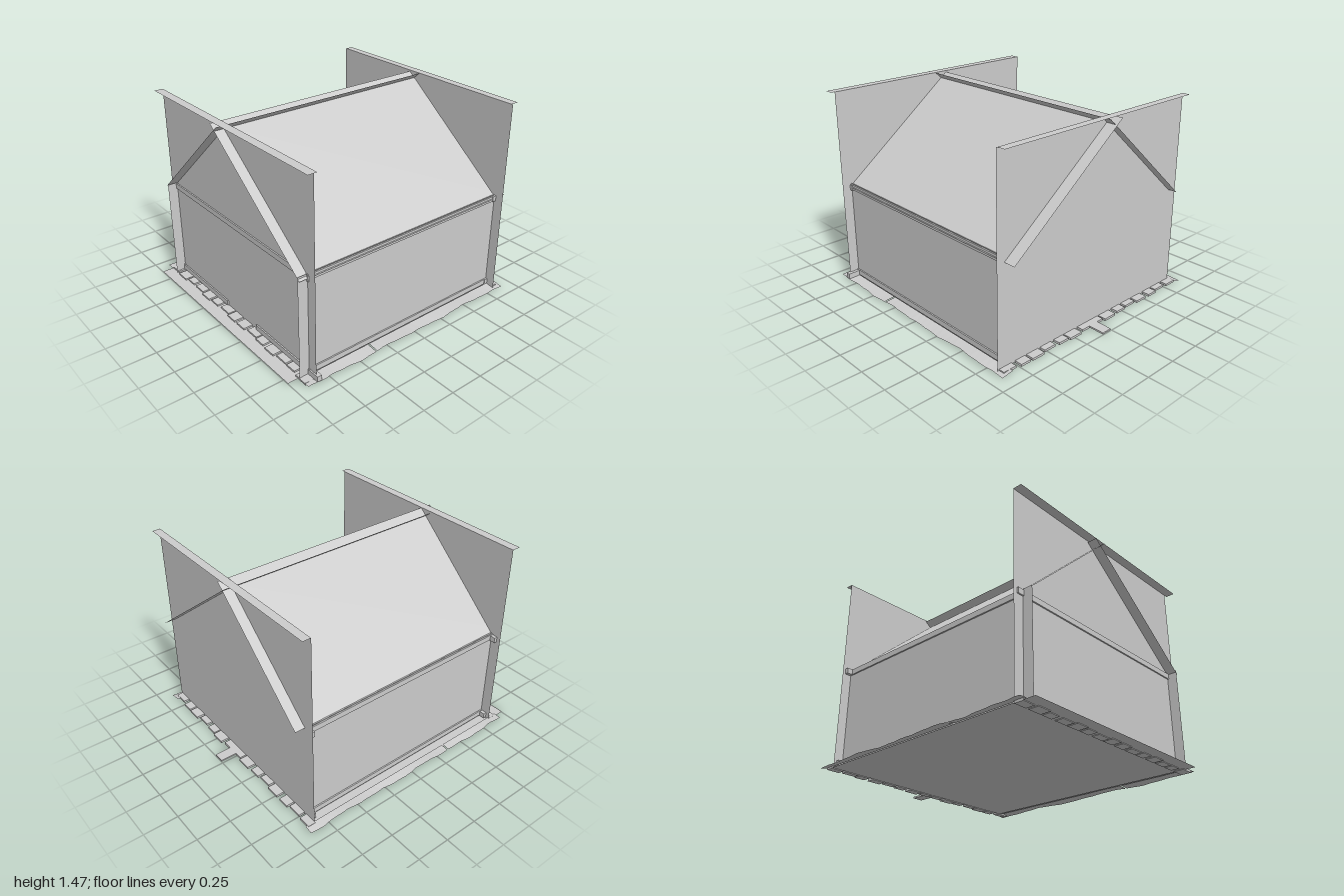
import * as THREE from 'three';

const mat = new THREE.MeshStandardMaterial({ color: 0xcccccc, side: THREE.DoubleSide, flatShading: true });

export function createModel() {
  const model = new THREE.Group();

  const add = (name, geometry) => {
    const mesh = new THREE.Mesh(geometry, mat);
    mesh.name = name;
    model.add(mesh);
    return mesh;
  };

  // Box given by its limits on each axis
  const box = (name, x0, x1, y0, y1, z0, z1) =>
    add(name, new THREE.BoxGeometry(x1 - x0, y1 - y0, z1 - z0)
      .translate((x0 + x1) / 2, (y0 + y1) / 2, (z0 + z1) / 2));

  // Thin sheet: a line from (x0,y0) to (x1,y1), swept along z
  const sheet = (name, x0, y0, x1, y1, z0, z1) =>
    add(name, new THREE.PlaneGeometry(Math.hypot(x1 - x0, y1 - y0), z1 - z0)
      .rotateX(-Math.PI / 2)
      .rotateZ(Math.atan2(y1 - y0, x1 - x0))
      .translate((x0 + x1) / 2, (y0 + y1) / 2, (z0 + z1) / 2));

  // Upright panel facing along z
  const panel = (name, x0, x1, y0, y1, z) =>
    add(name, new THREE.PlaneGeometry(x1 - x0, y1 - y0)
      .translate((x0 + x1) / 2, (y0 + y1) / 2, z));

  // Floor slab sheet, showing as a step at the front
  sheet('floor', -0.87, 0.03, 0.8, 0.03, -0.83, 1.0);

  // Tall end panels with a flat strip along the top
  panel('frontPanel', -0.87, 0.89, 0.03, 1.49, 0.845);
  sheet('frontPanelCap', -0.87, 1.49, 0.92, 1.49, 0.845, 0.91);
  panel('backPanel', -0.86, 0.89, 0.03, 1.49, -0.83);
  sheet('backPanelCap', -0.86, 1.49, 0.88, 1.49, -0.89, -0.83);

  // Side walls run a little past the front panel
  sheet('leftWall', 0.815, 0.03, 0.815, 0.79, -0.83, 0.92);
  sheet('rightWall', -0.79, 0.03, -0.79, 0.79, -0.83, 0.92);

  // Roof slopes cross just above the ridge and overhang both panels
  sheet('leftRoof', -0.1, 1.48, 0.83, 0.765, -0.918, 0.918);
  sheet('rightRoof', -0.78, 0.79, 0.0, 1.487, -0.903, 0.933);

  // Horizontal trim bars at eave and base
  const bars = [['eave', 0.745, 0.785], ['base', 0.045, 0.085]];
  for (const [level, y0, y1] of bars) {
    box(level + 'BarLeft', 0.8, 0.825, y0, y1, -0.828, 0.852);
    box(level + 'BarRight', -0.8, -0.775, y0, y1, -0.828, 0.852);
    box(level + 'BarBack', -0.84, 0.83, y0, y1, -0.829, -0.8);
  }
  box('eaveBarFront', -0.84, 0.83, 0.74, 0.78, 0.82, 0.855);
  // Front base bar leaves the doorway open
  box('baseBarFrontRight', -0.84, -0.15, 0.04, 0.08, 0.82, 0.855);
  box('baseBarFrontLeft', 0.22, 0.915, 0.04, 0.08, 0.82, 0.855);

  // Wavy ground borders beside the walls, two pieces per side
  const border = (name, inner, outer, z0, z1) => {
    const n = 24;
    const g = new THREE.PlaneGeometry(1, 1, 1, n);
    const p = g.attributes.position;
    for (let i = 0; i < p.count; i++) {
      const z = z0 + (z1 - z0) * (0.5 - p.getY(i));
      const isOuter = p.getX(i) * Math.sign(outer) > 0;
      const wave = 0.005 * Math.sin(z * 17) + 0.003 * Math.sin(z * 41);
      const x = isOuter ? outer + wave : inner;
      p.setXYZ(i, x, isOuter ? 0.034 + 0.006 * Math.sin(z * 9) : 0.042, z);
    }
    g.computeVertexNormals();
    add(name, g);
  };
  for (const [side, inner, outer] of [['Left', 0.825, 0.912], ['Right', -0.857, -0.915]]) {
    border('borderBack' + side, inner, outer, -0.9, 0.35);
    border('borderFront' + side, inner, outer, 0.36, 0.925);
  }

  // Rows of flat paving stones along front and back
  const count = 15;
  const pitch = 1.76 / count;
  for (let i = 0; i < count; i++) {
    const x = -0.87 + pitch * i;
    const w = pitch * (0.82 + 0.1 * Math.sin(i * 2.3));
    const jut = 0.01 * Math.sin(i * 1.9);
    box('backStone', x, x + w, 0.025, 0.042, -0.885 + jut, -0.83);
    box('frontStone', x, x + w, 0.025, 0.042, 0.845, 0.912 + jut);
  }

  // Stepping stone behind the back row
  box('backStep', 0.01, 0.09, 0.03, 0.042, -1.0, -0.83);

  return model;
}
